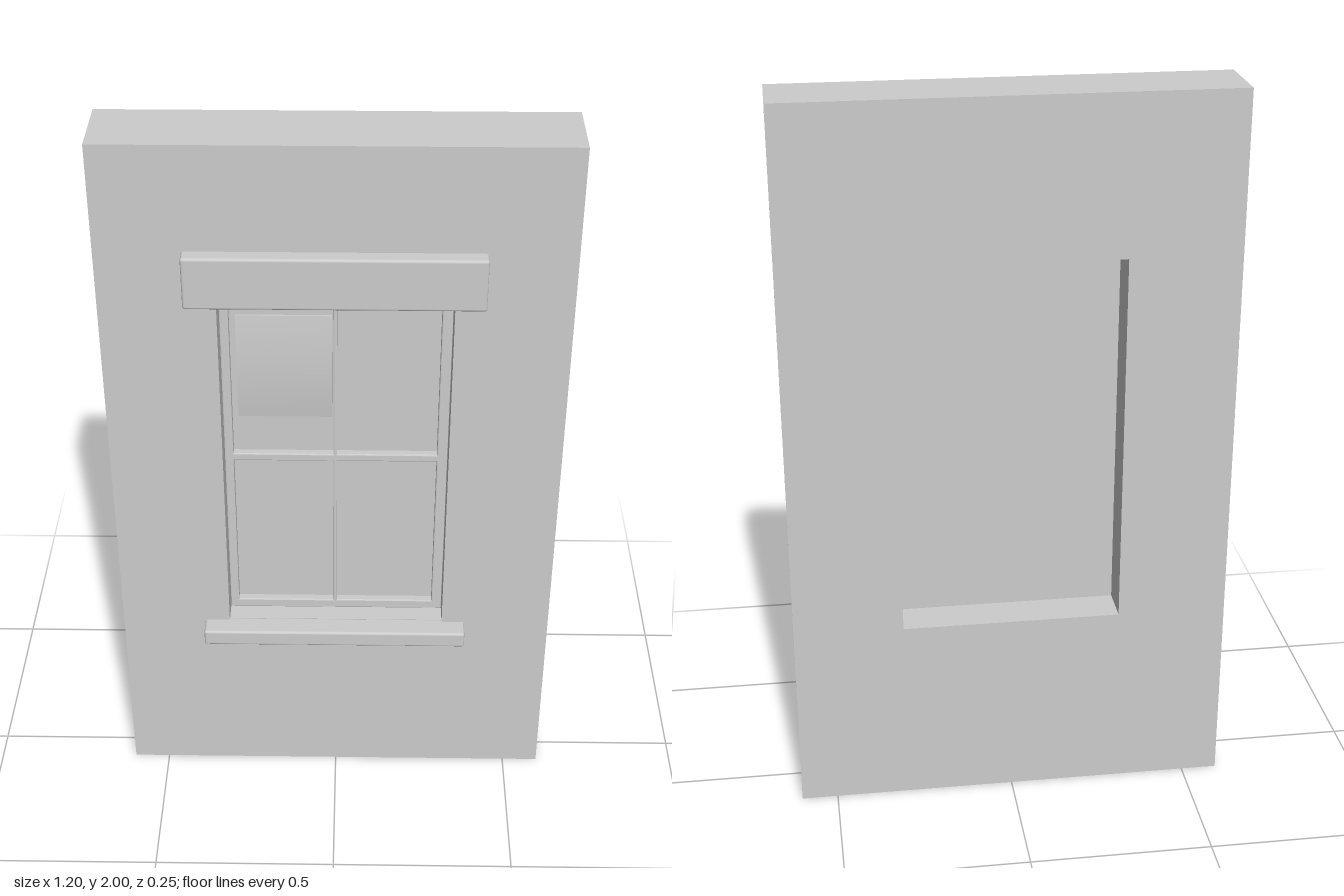
import * as THREE from 'three';
import { RoundedBoxGeometry } from 'three/addons/geometries/RoundedBoxGeometry.js';

function rect(Type, x0, y0, x1, y1) {
  const r = new Type();
  r.moveTo(x0, y0);
  r.lineTo(x1, y0);
  r.lineTo(x1, y1);
  r.lineTo(x0, y1);
  r.closePath();
  return r;
}

export function createModel() {
  const group = new THREE.Group();
  const plaster = new THREE.MeshStandardMaterial({ color: 0xcccccc });
  plaster.name = 'plaster grey';

  function add(name, geometry, x = 0, y = 0, z = 0) {
    const mesh = new THREE.Mesh(geometry, plaster);
    mesh.name = name;
    mesh.position.set(x, y, z);
    group.add(mesh);
    return mesh;
  }

  // Wall slab with the window opening cut through it
  const wall = rect(THREE.Shape, -0.6, 0, 0.6, 2);
  wall.holes.push(rect(THREE.Path, -0.3, 0.532, 0.3, 1.57));
  add('wall', new THREE.ExtrudeGeometry(wall, { depth: 0.2, bevelEnabled: false }), 0, 0, -0.127);

  // Window frame with four panes and slightly eased edges
  const bevel = 0.003;
  const frame = rect(THREE.Shape, -0.3 + bevel, 0.532 + bevel, 0.3 - bevel, 1.57 - bevel);
  for (const [x0, x1] of [[-0.276, -0.007], [0.003, 0.272]]) {
    for (const [y0, y1] of [[0.56, 1.044], [1.066, 1.546]]) {
      frame.holes.push(rect(THREE.Path, x0 - bevel, y0 - bevel, x1 + bevel, y1 + bevel));
    }
  }
  add('windowFrame', new THREE.ExtrudeGeometry(frame, {
    depth: 0.019, bevelEnabled: true, bevelThickness: bevel, bevelSize: bevel, bevelSegments: 2,
  }), 0, 0, -0.012);

  // Flat pane panel closing the back of the frame
  add('windowPane', new THREE.BoxGeometry(0.6, 1.038, 0.006), 0, 1.051, -0.014);

  // Blind in the upper pane, bowed gently forward
  const blind = new THREE.BoxGeometry(0.25, 0.31, 0.006, 1, 12, 1);
  const p = blind.attributes.position;
  for (let i = 0; i < p.count; i++) {
    const t = p.getY(i) / 0.155;
    if (p.getZ(i) > 0) p.setZ(i, 0.003 + 0.009 * (1 - t * t));
  }
  blind.computeVertexNormals();
  add('blind', blind, -0.135, 1.333, -0.008);

  // Rounded lintel above and sill below
  add('lintel', new RoundedBoxGeometry(0.758, 0.143, 0.06, 3, 0.007), -0.002, 1.644, 0.083);
  add('sill', new RoundedBoxGeometry(0.732, 0.048, 0.066, 3, 0.007), -0.003, 0.511, 0.094);

  return group;
}
